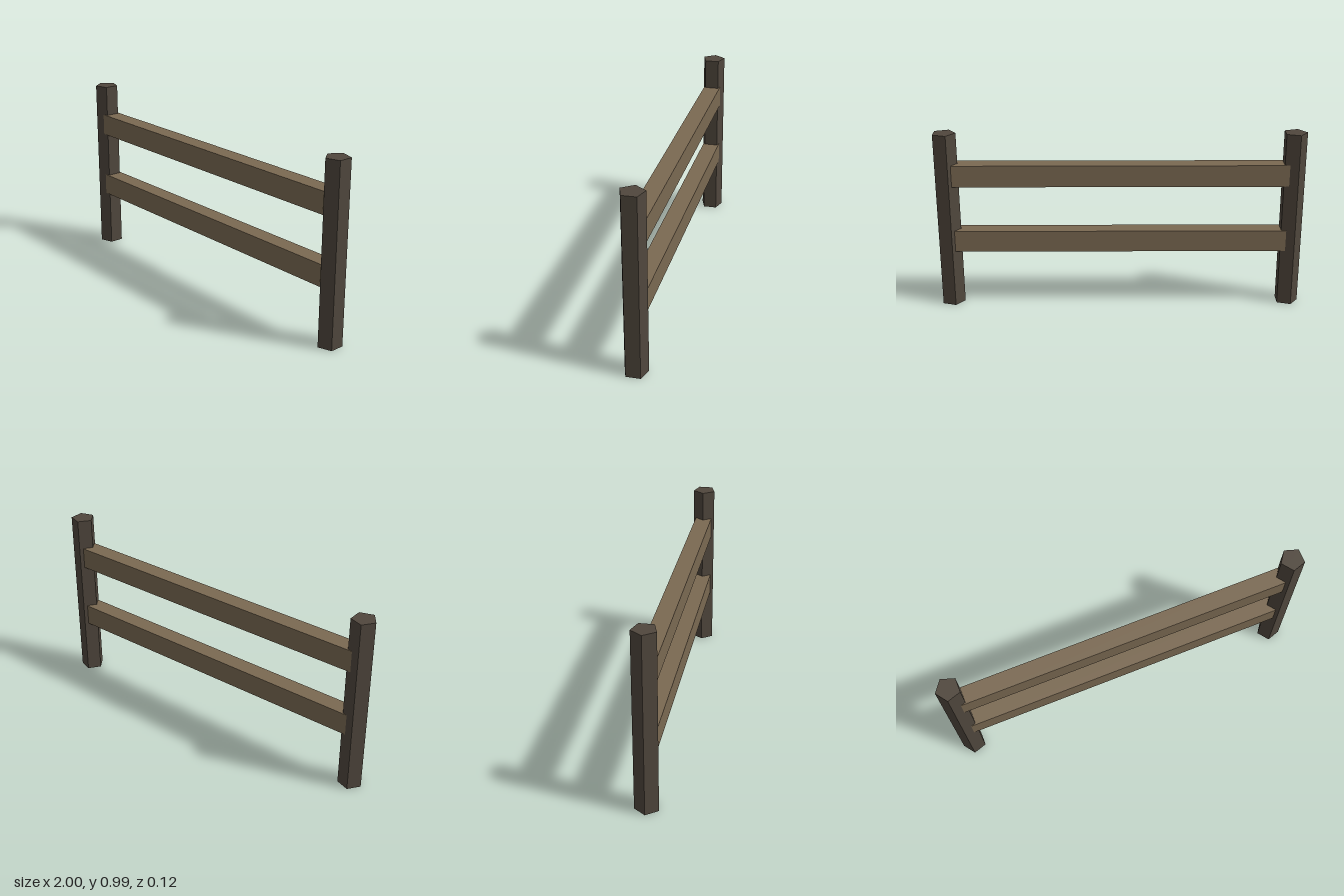
import * as THREE from 'three';

const HEIGHT = 0.988;
const RADIUS = 0.0657;

export function createModel() {
  const model = new THREE.Group();
  model.name = 'fence';
  const postWood = new THREE.MeshStandardMaterial({ color: 0x50473d, flatShading: true });
  const railWood = new THREE.MeshStandardMaterial({ color: 0x7a6952, flatShading: true });

  // Five-sided posts, both with their sharp edge towards -x
  const postGeometry = new THREE.CylinderGeometry(RADIUS, RADIUS, HEIGHT, 5, 1, false, -Math.PI / 2);
  const flatSide = RADIUS * Math.cos(Math.PI / 5);
  for (const [name, x] of [['rightPost', -1 + RADIUS], ['leftPost', 1 - flatSide]]) {
    const post = new THREE.Mesh(postGeometry, postWood);
    post.name = name;
    post.position.set(x, HEIGHT / 2, 0);
    model.add(post);
  }

  // Two plank rails set into the posts
  const railGeometry = new THREE.BoxGeometry(1.822, 0.12, 0.095);
  for (const [name, y] of [['lowerRail', 0.38], ['upperRail', 0.757]]) {
    const rail = new THREE.Mesh(railGeometry, railWood);
    rail.name = name;
    rail.position.set(0.001, y, 0);
    model.add(rail);
  }
  return model;
}
